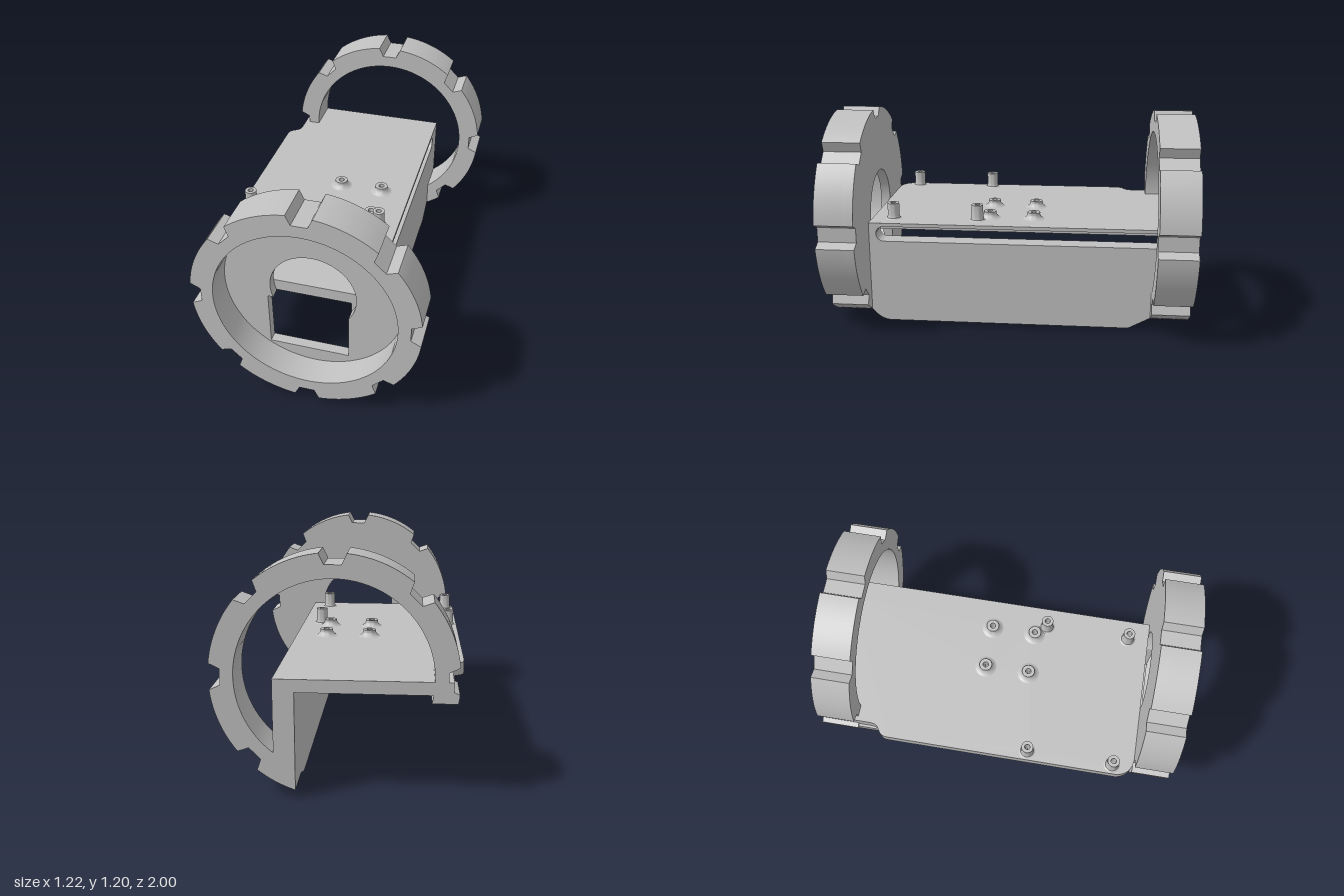
import * as THREE from 'three';
import { toCreasedNormals } from 'three/addons/utils/BufferGeometryUtils.js';

const CX = 0.02, CY = 0.61, R = 0.595, RI = 0.475, RAD = Math.PI / 180;
const grey = new THREE.MeshStandardMaterial({ color: 0xc0c0c0 });
grey.name = 'plain grey';

const polar = (r, deg) => new THREE.Vector2(CX + r * Math.cos(deg * RAD), CY + r * Math.sin(deg * RAD));

function arc(r, from, to, n) {
  return Array.from({ length: n + 1 }, (_, i) => polar(r, from + (to - from) * i / n));
}

// Outer rim with a tapered notch every 45 degrees, between two angles
function notchedRim(from, to) {
  const pts = [];
  let a = from;
  for (let k = Math.ceil(from / 45) * 45; k < to; k += 45) {
    pts.push(...arc(R, a, k - 6.3, 12));
    pts.push(polar(0.541, k - 4.3), polar(0.541, k + 4.3));
    a = k + 6.3;
  }
  return pts.concat(arc(R, a, to, 12));
}

function extrude(shape, depth) {
  return new THREE.ExtrudeGeometry(shape, { depth, bevelEnabled: false, curveSegments: 32 });
}

export function createModel() {
  const group = new THREE.Group();
  const add = (name, geometry, x = 0, y = 0, z = 0) => {
    const mesh = new THREE.Mesh(toCreasedNormals(geometry, 0.5), grey);
    mesh.name = name;
    mesh.position.set(x, y, z);
    group.add(mesh);
  };

  // Front ring: open rim in front of a thin end wall
  const rim = notchedRim(-22.5, 337.5).slice(0, -1);
  const ring = new THREE.Shape(rim);
  ring.holes.push(new THREE.Path(arc(RI, 0, 360, 96).slice(0, -1)));
  add('frontRing', extrude(ring, 0.155), 0, 0, 0.845);

  // End wall with a round opening merged into a square one
  const wall = new THREE.Shape(rim);
  wall.holes.push(new THREE.Path([
    new THREE.Vector2(0.207, 0.215),
    ...arc(0.228, -34.8, 199.2, 60),
    new THREE.Vector2(-0.225, 0.535),
    new THREE.Vector2(-0.225, 0.215),
  ]));
  add('frontEndWall', extrude(wall, 0.055), 0, 0, 0.79);

  // Back ring, cut away under the angle bracket
  const partRing = new THREE.Shape([
    ...notchedRim(-71.7, 190.6),
    ...arc(RI, 193.4, -66.8, 80),
  ]);
  add('backRing', extrude(partRing, 0.21), 0, 0, -1);

  // Posts: tall ones and low flared ones, as [x, z]
  const tall = [[-0.56, 0.19], [0.2, 0.19], [-0.56, 0.67], [0.2, 0.67]];
  const low = [[-0.105, -0.125], [0.14, -0.125], [-0.105, 0.125], [0.14, 0.125]];

  // Horizontal plate, drawn in x and z
  const plate = new THREE.Shape();
  plate.moveTo(0.207, 0.79);
  plate.lineTo(-0.52, 0.79);
  plate.quadraticCurveTo(-0.6, 0.78, -0.612, 0.7);
  plate.lineTo(-0.612, -0.6);
  plate.bezierCurveTo(-0.612, -0.68, -0.545, -0.64, -0.545, -0.72);
  plate.lineTo(-0.545, -1);
  plate.lineTo(0.207, -1);
  for (const [x, z] of [...tall, ...low]) {
    if (x > 0.19) continue;
    const hole = new THREE.Path();
    hole.absarc(x, z, 0.015, 0, Math.PI * 2);
    plate.holes.push(hole);
  }
  add('topPlate', extrude(plate, 0.065).rotateX(Math.PI / 2), 0, 0.605, 0);

  // Side wall with a long slot, drawn in -z and y
  const side = new THREE.Shape();
  side.moveTo(-0.79, 0.07);
  side.quadraticCurveTo(-0.74, 0.005, -0.68, 0.005);
  side.lineTo(0.67, 0.005);
  side.lineTo(0.79, 0.045);
  side.lineTo(1, 0.045);
  side.lineTo(1, 0.605);
  side.lineTo(-0.79, 0.605);
  const slot = new THREE.Path();
  slot.absarc(0.8175, 0.5425, 0.0425, -Math.PI / 2, Math.PI / 2);
  slot.absarc(-0.7075, 0.5425, 0.0425, Math.PI / 2, Math.PI * 1.5);
  side.holes.push(slot);
  const sideGeo = extrude(side, 0.105).rotateY(Math.PI / 2);
  // Slope the lower edge up toward the outside
  const p = sideGeo.attributes.position;
  for (let i = 0; i < p.count; i++) {
    if (p.getX(i) > 0.05 && p.getY(i) < 0.1) {
      p.setY(i, p.getY(i) + (p.getZ(i) < -0.78 ? 0.045 : 0.02));
    }
  }
  sideGeo.computeVertexNormals();
  add('sideWall', sideGeo, 0.207, 0, 0);

  // Tapered lip joining the plate edge to the cut end of the back ring
  const lip = new THREE.Shape([[0.62, 0.54], [0.68, 0.5], [0.79, 0.5], [0.79, 0.54]]
    .map(([u, v]) => new THREE.Vector2(u, v)));
  add('plateLip', extrude(lip, 0.1).rotateY(Math.PI / 2), -0.56, 0, 0);

  // Hollow posts on the plate
  const lathe = (pts) => new THREE.LatheGeometry(pts.map(([x, y]) => new THREE.Vector2(x, y)), 28);
  for (const [x, z] of tall) {
    add('tallPost', lathe([[0.046, 0], [0.037, 0.006], [0.033, 0.018], [0.033, 0.09],
      [0.015, 0.09], [0.015, 0]]), x, 0.605, z);
  }
  for (const [x, z] of low) {
    add('lowPost', lathe([[0.062, 0], [0.052, 0.004], [0.042, 0.013], [0.036, 0.024], [0.036, 0.038],
      [0.016, 0.038], [0.015, 0]]), x, 0.605, z);
  }
  return group;
}
